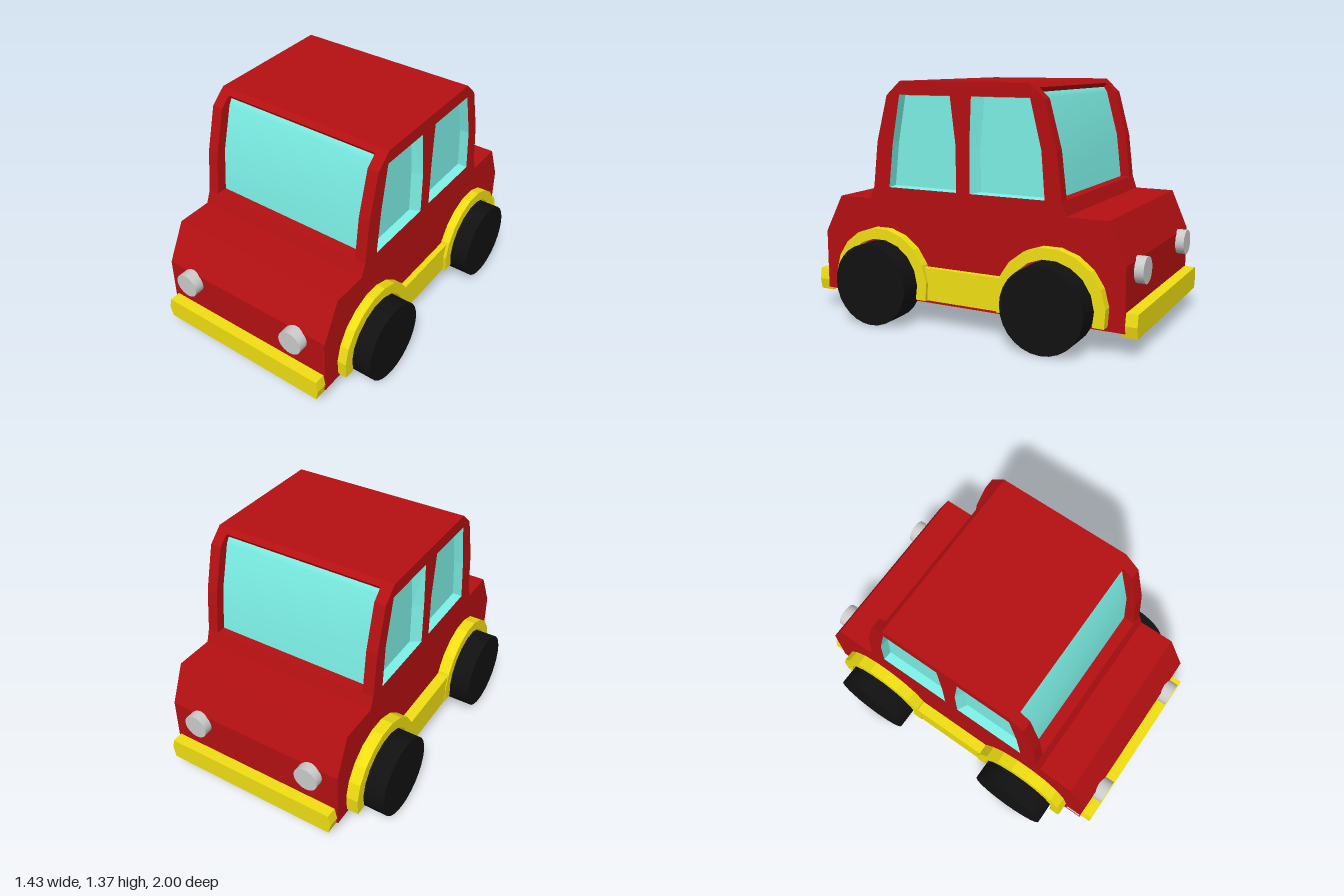
import * as THREE from 'three';

const paint = (color, side = THREE.FrontSide) => new THREE.MeshStandardMaterial({ color, side });
const RED = paint(0xb51012);
const YELLOW = paint(0xf0df12);
const GLASS = paint(0x7cf0e6, THREE.DoubleSide);
const BLACK = paint(0x111111);
const GREY = paint(0xcccccc);

// body flanks, and the core between the two side panels
const X0 = -0.53, X1 = 0.56, PANEL = 0.065;
const toVec = (pts) => pts.map(([a, b]) => new THREE.Vector2(a, b));

function add(group, name, geometry, material) {
  const mesh = new THREE.Mesh(geometry, material);
  mesh.name = name;
  group.add(mesh);
  return mesh;
}

// extrude a (z, y) profile sideways from x0 to x1
function slab(points, x0, x1, holes = []) {
  const shape = new THREE.Shape(toVec(points));
  for (const h of holes) shape.holes.push(new THREE.Path(toVec(h)));
  const g = new THREE.ExtrudeGeometry(shape, { depth: x1 - x0, bevelEnabled: false });
  return g.rotateY(-Math.PI / 2).translate(x1, 0, 0);
}

// open curved sheet following a (z, y) line
function sheet(line, x0, x1) {
  const pos = [], index = [];
  line.forEach(([z, y], i) => {
    pos.push(x0, y, z, x1, y, z);
    if (i) index.push(2 * i - 2, 2 * i - 1, 2 * i, 2 * i - 1, 2 * i + 1, 2 * i);
  });
  const g = new THREE.BufferGeometry();
  g.setAttribute('position', new THREE.Float32BufferAttribute(pos, 3));
  g.setIndex(index);
  g.computeVertexNormals();
  return g;
}

// window recess: sloping reveal from the outer loop to a sunken pane
function pocket(outer, inner, xOuter, xInner) {
  const n = outer.length, pos = [], index = [];
  const cz = inner.reduce((s, p) => s + p[0], 0) / n;
  const cy = inner.reduce((s, p) => s + p[1], 0) / n;
  outer.forEach(([z, y]) => pos.push(xOuter, y, z));
  inner.forEach(([z, y]) => pos.push(xInner, cy + (y - cy) * 0.98, cz + (z - cz) * 0.98));
  for (let i = 0; i < n; i++) {
    const j = (i + 1) % n;
    index.push(i, j, n + j, i, n + j, n + i);
    if (i > 1) index.push(n, n + i - 1, n + i);
  }
  // the winding is reversed where the recess faces the model's left
  if (xOuter > xInner) index.reverse();
  const g = new THREE.BufferGeometry();
  g.setAttribute('position', new THREE.Float32BufferAttribute(pos, 3));
  g.setIndex(index);
  const flat = g.toNonIndexed();
  flat.computeVertexNormals();
  return flat;
}

// half outlines from roof to floor
const FRONT = [[0.39, 1.36], [0.48, 1.28], [0.55, 1.02], [0.58, 0.765], [0.61, 0.69],
  [0.82, 0.69], [0.935, 0.47], [0.935, 0.125]];
const REAR = [[-0.4, 1.36], [-0.485, 1.28], [-0.555, 1.02], [-0.585, 0.765], [-0.61, 0.69],
  [-0.84, 0.69], [-0.935, 0.47], [-0.935, 0.125]];
const FRONT_GLASS = [[0.395, 1.31], [0.415, 1.28], [0.485, 1.02], [0.51, 0.765]];
const REAR_GLASS = [[-0.405, 1.31], [-0.425, 1.28], [-0.495, 1.02], [-0.525, 0.765]];

const WINDOWS = [
  { name: 'frontSideWindow',
    outer: [[0.395, 1.285], [0.445, 1.02], [0.475, 0.765], [0.037, 0.765], [0.037, 1.02], [0.07, 1.285]],
    inner: [[0.395, 1.285], [0.445, 1.02], [0.475, 0.765], [0.066, 0.765], [0.066, 1.02], [0.09, 1.285]] },
  { name: 'rearSideWindow',
    outer: [[-0.06, 1.285], [-0.048, 1.02], [-0.048, 0.765], [-0.49, 0.765], [-0.47, 1.02], [-0.405, 1.285]],
    inner: [[-0.107, 1.285], [-0.082, 1.02], [-0.082, 0.765], [-0.49, 0.765], [-0.47, 1.02], [-0.405, 1.285]] },
];

function buildBody(car) {
  // side panels with window openings
  const outline = [...FRONT, ...[...REAR].reverse()];
  const holes = WINDOWS.map((w) => w.outer);
  add(car, 'leftBodySide', slab(outline, X1 - PANEL, X1, holes), RED);
  add(car, 'rightBodySide', slab(outline, X0, X0 + PANEL, holes), RED);

  // core with recesses for the windscreen and the rear window
  const cut = (half, glass, rim) => [half[0], rim, ...glass, ...half.slice(3)];
  const core = [...cut(FRONT, FRONT_GLASS, [0.418, 1.335]),
    ...cut(REAR, REAR_GLASS, [-0.428, 1.335]).reverse()];
  add(car, 'bodyCore', slab(core, X0 + PANEL, X1 - PANEL), RED);

  const lift = (line, d) => line.map(([z, y]) => [z + d, y]);
  add(car, 'windscreen', sheet(lift(FRONT_GLASS, 0.004), X0 + PANEL, X1 - PANEL), GLASS);
  add(car, 'rearWindow', sheet(lift(REAR_GLASS, -0.004).reverse(), X0 + PANEL, X1 - PANEL), GLASS);

  for (const w of WINDOWS) {
    add(car, w.name + 'Left', pocket(w.outer, w.inner, X1, X1 - 0.055), GLASS);
    add(car, w.name + 'Right', pocket(w.outer, w.inner, X0, X0 + 0.055), GLASS);
  }
}

// wheel arch band, open at the bottom
function archProfile(zc) {
  const yc = 0.222, bottom = 0.15, steps = 11;
  const arc = (r) => {
    const a0 = Math.asin((bottom - yc) / r);
    return Array.from({ length: steps + 1 }, (_, i) => {
      const a = a0 + (Math.PI - 2 * a0) * (i / steps);
      return [zc + r * Math.cos(a), yc + r * Math.sin(a)];
    });
  };
  return [...arc(0.312), ...arc(0.25).reverse()];
}

function buildRunningGear(car) {
  for (const [side, s] of [['Left', 1], ['Right', -1]]) {
    const span = (inner, outer) => (s > 0 ? [inner, outer] : [-outer, -inner]);
    const flank = s > 0 ? X1 - 0.01 : -X0 - 0.01;
    for (const [end, z] of [['front', 0.515], ['rear', -0.54]]) {
      add(car, end + 'Arch' + side, slab(archProfile(z), ...span(flank, s > 0 ? 0.613 : 0.6)), YELLOW);
      const wheel = new THREE.CylinderGeometry(0.233, 0.233, 0.165, 28).rotateZ(Math.PI / 2);
      add(car, end + 'Wheel' + side, wheel, BLACK).position.set(s * 0.6325, 0.2275, z);
    }
    // running board between the arches
    const board = [[0.235, 0.15], [0.235, 0.335], [-0.26, 0.335], [-0.26, 0.15]];
    add(car, 'runningBoard' + side, slab(board, ...span(flank, 0.595)), YELLOW);
  }
}

function buildTrim(car) {
  // bumpers with pointed ends
  const bar = new THREE.Shape(toVec([[-0.525, 0.17], [-0.51, 0.107], [0.548, 0.107],
    [0.56, 0.17], [0.548, 0.235], [-0.51, 0.235]]));
  const bumper = new THREE.ExtrudeGeometry(bar, { depth: 0.085, bevelEnabled: false });
  add(car, 'frontBumper', bumper, YELLOW).position.z = 0.915;
  add(car, 'rearBumper', bumper, YELLOW).position.set(0, -0.004, -1);

  // round lamps at both ends
  const lamp = new THREE.CylinderGeometry(0.072, 0.072, 0.075, 24).rotateX(Math.PI / 2);
  for (const x of [-0.362, 0.372]) {
    add(car, 'headlight', lamp, GREY).position.set(x, 0.416, 0.955);
    add(car, 'tailLight', lamp, GREY).position.set(x, 0.416, -0.948);
  }

  // small bracket on the front right corner
  add(car, 'bumperBracket', new THREE.BoxGeometry(0.012, 0.016, 0.09), GREY).position.set(X0, 0.187, 0.885);
}

export function createModel() {
  const car = new THREE.Group();
  car.name = 'car';
  buildBody(car);
  buildRunningGear(car);
  buildTrim(car);
  return car;
}
